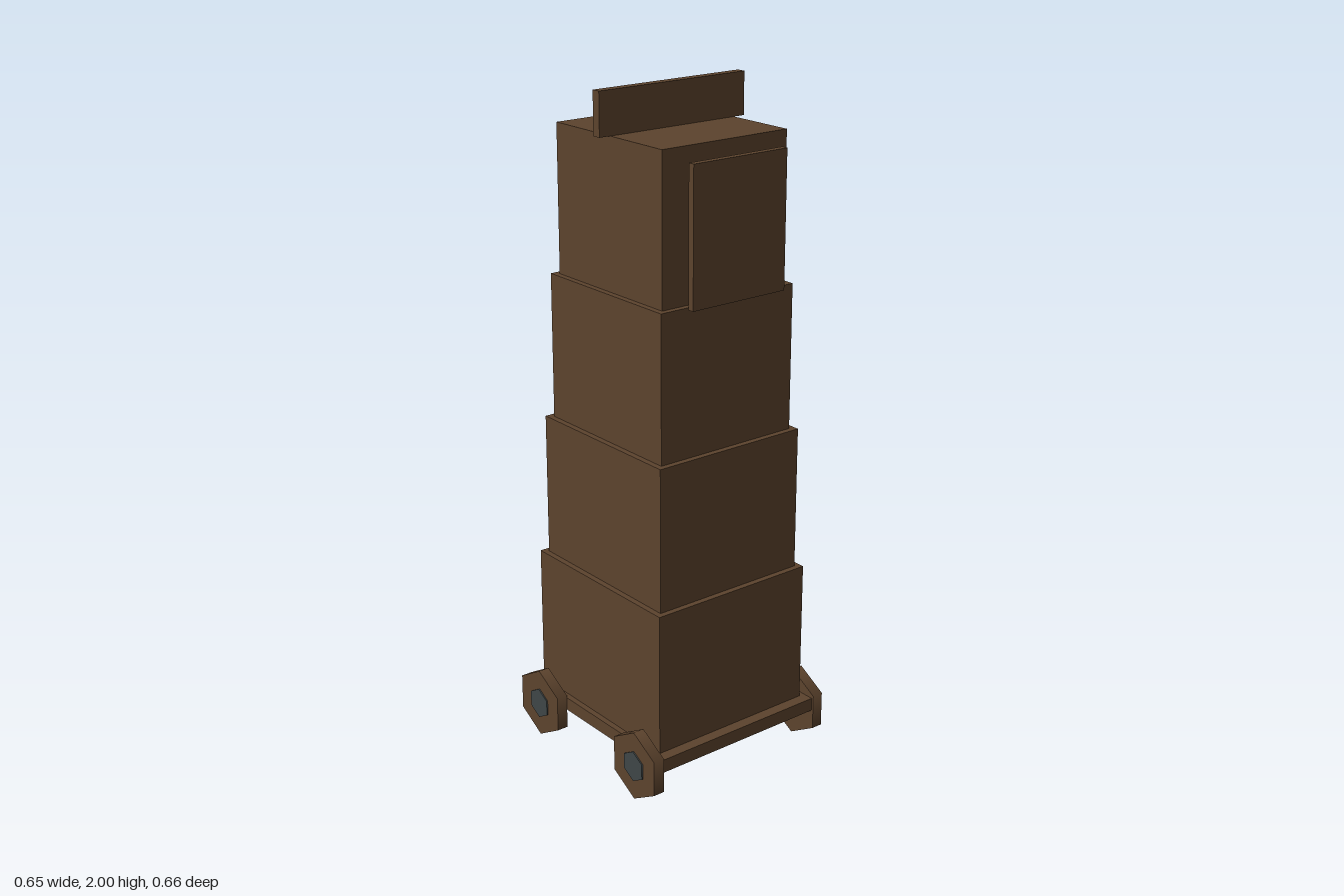
import * as THREE from 'three';

export function createModel() {
  const group = new THREE.Group();
  const wood = new THREE.MeshStandardMaterial({ color: 0x5c432d });
  wood.name = 'dark wood';
  const iron = new THREE.MeshStandardMaterial({ color: 0x3f4647 });
  iron.name = 'iron';

  const add = (name, geometry, material, x, y, z) => {
    const mesh = new THREE.Mesh(geometry, material);
    mesh.name = name;
    mesh.position.set(x, y, z);
    group.add(mesh);
  };

  // Box centred on x, given its vertical span
  const box = (name, width, y0, y1, depth, z = 0) =>
    add(name, new THREE.BoxGeometry(width, y1 - y0, depth), wood, 0, (y0 + y1) / 2, z);

  // Six-sided disc with its axle along x and a corner at the top
  const disc = (radius, width) =>
    new THREE.CylinderGeometry(radius, radius, width, 6, 1, false, Math.PI / 2).rotateZ(Math.PI / 2);

  // Rolling platform
  box('platform', 0.574, 0.112, 0.153, 0.644);

  // Four storeys, each narrower than the one below
  const tierHeight = 0.431;
  for (let i = 0; i < 4; i++) {
    const y = 0.153 + i * tierHeight;
    box(`storey${i + 1}`, 0.538 - i * 0.036, y, y + tierHeight, 0.574 - i * 0.036);
  }

  // Parapet across the roof and the raised drawbridge in front
  box('parapet', 0.502, 1.877, 2, 0.027);
  box('drawbridge', 0.322, 1.449, 1.843, 0.02, 0.286);

  // Wheels with slightly protruding hubs
  const wheel = disc(0.108, 0.035);
  const hub = disc(0.048, 0.043);
  for (const x of [-0.305, 0.305]) {
    for (const z of [-0.235, 0.235]) {
      add('wheel', wheel, wood, x, 0.108, z);
      add('hub', hub, iron, x, 0.108, z);
    }
  }
  return group;
}
